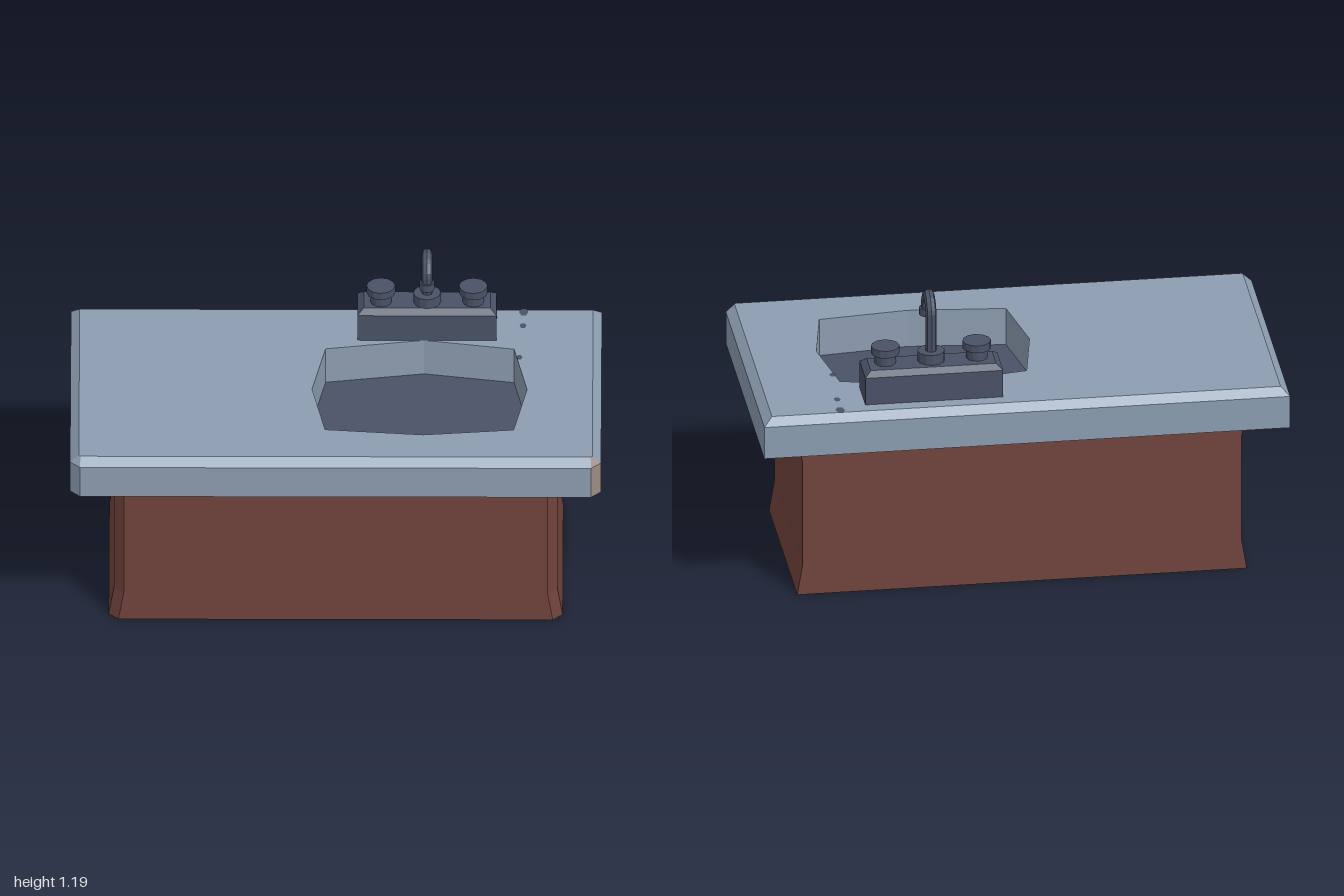
import * as THREE from 'three';

const material = (name, color) => {
  const m = new THREE.MeshStandardMaterial({ color, flatShading: true, side: THREE.DoubleSide });
  m.name = name;
  return m;
};

// Flat polygons (3 or 4 corners each) as one geometry
function polygons(list) {
  const pos = [];
  for (const p of list)
    for (let i = 1; i < p.length - 1; i++) pos.push(...p[0], ...p[i], ...p[i + 1]);
  const g = new THREE.BufferGeometry();
  g.setAttribute('position', new THREE.Float32BufferAttribute(pos, 3));
  g.computeVertexNormals();
  return g;
}

// Outward quads joining two rings of [x, y, z] points
const band = (low, high) => low.map((a, i) => {
  const j = (i + 1) % low.length;
  return [low[j], a, high[i], high[j]];
});
const ring = (pts, y) => pts.map(([x, z]) => [x, y, z]);

// Rectangle with its two front corners cut by c
const outline = (x, back, front, c) => [
  [-x, back], [x, back], [x, front - c], [x - c, front], [-x + c, front], [-x, front - c]];

export function createModel() {
  const model = new THREE.Group();
  const stone = material('counter blue grey', 0x8c9db1);
  const steel = material('dark slate', 0x4a5266);
  const wood = material('red brown', 0x71433c);
  const worn = material('worn tan', 0x9a8c84);

  const add = (name, geometry, mat, parent = model) => {
    const mesh = new THREE.Mesh(geometry, mat);
    mesh.name = name;
    parent.add(mesh);
    return mesh;
  };

  // Cabinet: open shell, flared at the foot and the top
  const levels = [[0, 0.855], [0.12, 0.835], [0.55, 0.835], [0.64, 0.855]]
    .map(([y, x]) => ring(outline(x, -0.4, 0.4, 0.037), y));
  const panels = levels.slice(1).flatMap((high, i) => band(levels[i], high));
  // the upper left panel has a corner broken off
  panels[13] = [[0.835, 0.55, 0.363], [0.835, 0.55, -0.4], [0.855, 0.64, -0.4], [0.855, 0.64, -0.03]];
  add('cabinet', polygons(panels), wood);

  // Dark patches on the upper left panel
  const onFlare = (z, y) => [0.838 + (y - 0.55) * 0.222, y, z];
  add('sidePatches', polygons([
    [onFlare(0.32, 0.552), onFlare(0.14, 0.552), onFlare(0.12, 0.57), onFlare(0.12, 0.604)],
    [onFlare(-0.04, 0.552), onFlare(-0.145, 0.552), onFlare(-0.155, 0.58), onFlare(-0.155, 0.638), onFlare(-0.035, 0.638)],
  ]), steel);

  // Countertop rim: vertical edge and bevel; one front corner is worn
  const outer = outline(1, -0.543, 0.54, 0.038);
  const inner = outline(0.967, -0.513, 0.508, 0.006);
  const rim = [
    ...band(ring(outer, 0.64), ring(outer, 0.77)),
    ...band(ring(outer, 0.77), ring(inner, 0.8))];
  const isWorn = i => i % 6 === 2;
  add('counterEdge', polygons(rim.filter((_, i) => !isWorn(i))), stone);
  add('wornCorner', polygons(rim.filter((_, i) => isWorn(i))), worn);

  // Countertop surface with the basin opening
  const basin = [[0.33, -0.3], [0.67, -0.24], [0.72, 0.04], [0.67, 0.32],
    [0.33, 0.355], [-0.04, 0.32], [-0.09, 0.04], [-0.04, -0.24]];
  const toShape = pts => new THREE.Shape(pts.map(([x, z]) => new THREE.Vector2(x, -z)));
  const top = toShape(inner);
  top.holes.push(toShape(basin));
  const flat = (shape, y) => new THREE.ShapeGeometry(shape).rotateX(-Math.PI / 2).translate(0, y, 0);
  add('counterTop', flat(top, 0.8), stone);

  // Basin
  add('basinWall', polygons(band(ring(basin, 0.8), ring(basin, 0.65))), stone);
  add('basinFloor', flat(toShape(basin), 0.65), steel);

  // Underside of the overhang, in strips facing down
  const strip = (x0, x1, z0, z1) =>
    [[x0, 0.64, z0], [x1, 0.64, z0], [x1, 0.64, z1], [x0, 0.64, z1]];
  add('undersideTrim', polygons([
    strip(0.6, 1, -0.543, -0.4), strip(0.855, 1, -0.4, -0.2),
    strip(-1, -0.85, -0.543, -0.4), strip(-1, -0.855, -0.4, 0.4)]), wood);
  add('undersidePanel', polygons([
    strip(-0.85, 0.6, -0.543, -0.4), strip(-0.96, 0.96, 0.4, 0.538)]), worn);

  // Small chips in the counter surface
  for (const [x, z, r] of [[0.705, -0.495, 0.018], [0.703, -0.4, 0.013], [0.69, -0.18, 0.012]])
    add('chip', new THREE.CircleGeometry(r, 6).rotateX(-Math.PI / 2)
      .scale(1, 1, 1.5).translate(x, 0.802, z), steel);

  // Tap block with bevelled top
  const tap = new THREE.Group();
  tap.name = 'tap';
  tap.position.set(0.342, 0, -0.38);
  model.add(tap);
  const rect = (x, z) => [[-x, -z], [x, -z], [x, z], [-x, z]];
  const b0 = ring(rect(0.262, 0.08), 0.8);
  const b1 = ring(rect(0.262, 0.08), 0.91);
  const b2 = ring(rect(0.238, 0.056), 0.93);
  add('tapBase', polygons([...band(b0, b1), ...band(b1, b2), [...b2].reverse()]), steel, tap);

  // Handles, collar and nozzle
  const disc = (name, r, y0, y1, x, z) =>
    add(name, new THREE.CylinderGeometry(r, r, y1 - y0, 12).translate(x, (y0 + y1) / 2, z), steel, tap);
  for (const side of [-1, 1]) {
    disc('handleStem', 0.04, 0.93, 0.97, side * 0.174, 0.01);
    disc('handleCap', 0.054, 0.97, 1.0, side * 0.174, 0.01);
  }
  disc('spoutCollar', 0.052, 0.93, 0.97, 0, 0.01);
  disc('nozzle', 0.028, 1.064, 1.094, 0, 0.13);

  // Swan-neck spout, bent in straight segments
  const path = new THREE.CurvePath();
  const bend = [[0.01, 0.95], [0.01, 1.125], [0.03, 1.158], [0.068, 1.174], [0.105, 1.158], [0.13, 1.125], [0.13, 1.08]]
    .map(([z, y]) => new THREE.Vector3(0, y, z));
  for (let i = 1; i < bend.length; i++) path.add(new THREE.LineCurve3(bend[i - 1], bend[i]));
  add('spout', new THREE.TubeGeometry(path, 40, 0.021, 8), steel, tap);

  return model;
}
